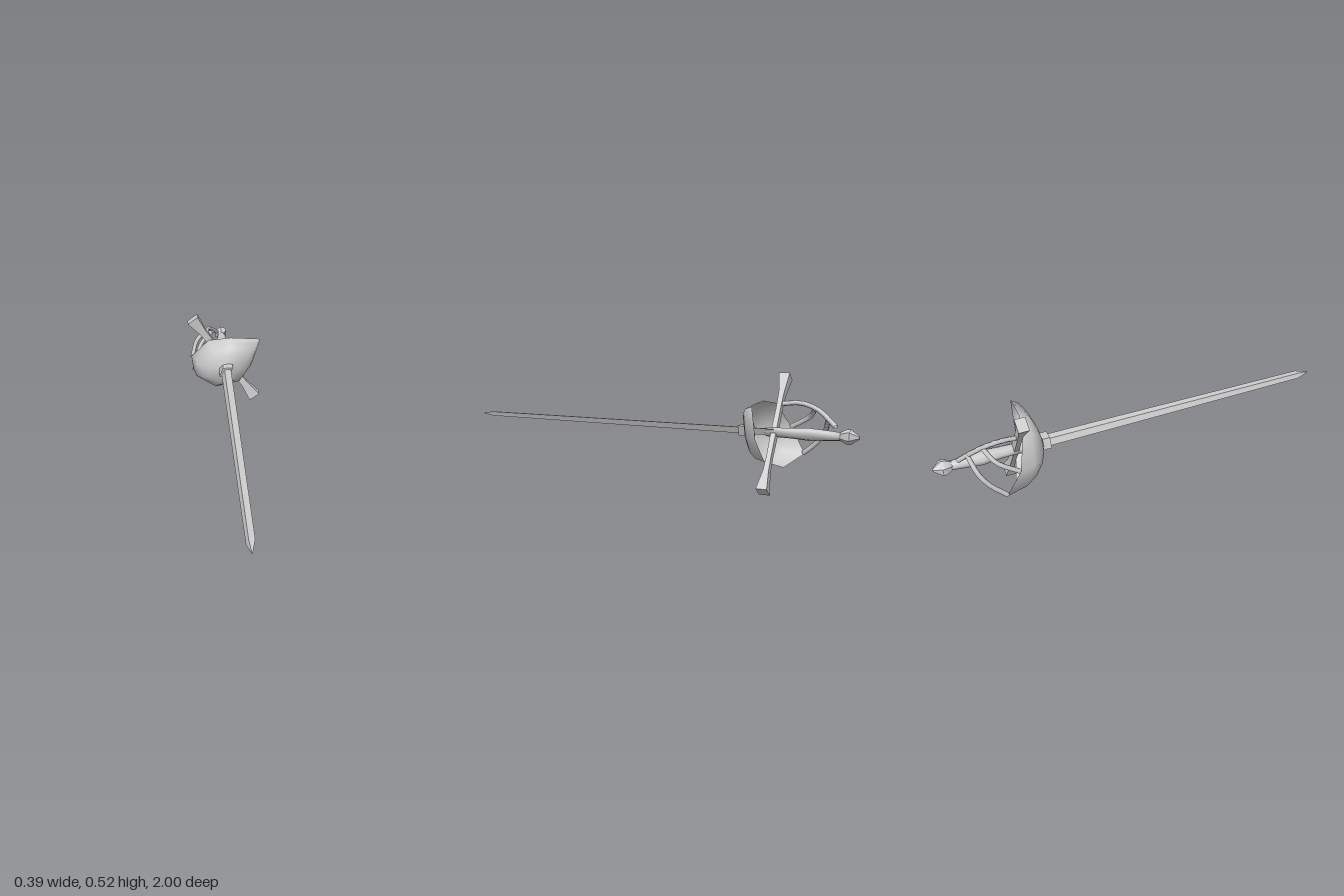
import * as THREE from 'three';
import { toCreasedNormals } from 'three/addons/utils/BufferGeometryUtils.js';

const material = new THREE.MeshStandardMaterial({ color: 0xcccccc, side: THREE.DoubleSide });

// Skin closed rings of points (counter-clockwise seen from +z, z increasing), with optional end caps
function skin(rings, caps = true) {
  const n = rings[0].length, pos = [], idx = [];
  rings.forEach(r => r.forEach(p => pos.push(...p)));
  for (let i = 0; i < rings.length - 1; i++) {
    for (let j = 0; j < n; j++) {
      const a = i * n + j, b = i * n + (j + 1) % n;
      idx.push(a, b, b + n, a, b + n, a + n);
    }
  }
  if (caps) {
    const top = (rings.length - 1) * n;
    for (let j = 1; j < n - 1; j++) idx.push(0, j + 1, j, top, top + j, top + j + 1);
  }
  const g = new THREE.BufferGeometry();
  g.setAttribute('position', new THREE.Float32BufferAttribute(pos, 3));
  g.setIndex(idx);
  g.computeVertexNormals();
  return g;
}

// Elliptical sections [z, half width, half height] with a given number of sides
function loft(sections, sides, start = 0) {
  return skin(sections.map(([z, a, b]) => Array.from({ length: sides }, (_, j) => {
    const t = start + j * 2 * Math.PI / sides;
    return [a * Math.cos(t), b * Math.sin(t), z];
  })));
}

export function createModel() {
  const model = new THREE.Group();
  model.name = 'sword';
  // The whole sword is rolled about its blade
  const roll = new THREE.Group();
  roll.name = 'rolledSword';
  roll.position.y = 0.265;
  roll.rotation.z = THREE.MathUtils.degToRad(35);
  model.add(roll);

  const add = (name, geometry) => {
    const mesh = new THREE.Mesh(geometry, material);
    mesh.name = name;
    roll.add(mesh);
  };

  // Diamond-section blade with a short point
  add('blade', toCreasedNormals(loft([
    [-0.62, 0.031, 0.017], [-0.2, 0.029, 0.016], [0.93, 0.022, 0.013], [1, 0.001, 0.001],
  ], 4), 0.7));

  // Collar where the blade meets the cup
  add('collar', toCreasedNormals(loft([
    [-0.515, 0.052, 0.04], [-0.485, 0.043, 0.029], [-0.455, 0.044, 0.029],
  ], 4), 0.7));

  // Shell cup: a symmetric pointed rim, rounded in towards the collar
  const half = [[0.237, 0, -0.57], [0.112, 0.1, -0.575], [0, 0.151, -0.6], [-0.146, 0.108, -0.65], [-0.208, 0, -0.72]];
  const rim = [...half, ...half.slice(1, 4).reverse().map(([x, y, z]) => [x, -y, z])];
  const steps = [1, 0.9, 0.72, 0.48, 0.2];
  add('cup', skin(steps.map(t => rim.map(([x, y, z]) =>
    [x * t, y * t, -0.49 + (z + 0.49) * (1 - Math.sqrt(1 - t * t))])), false));

  // Cross guard flaring to square ends
  const arm = [[0.296, 0.033, 0.025], [0.27, 0.029, 0.022], [0.2, 0.019, 0.013], [0.12, 0.018, 0.011], [0.03, 0.02, 0.012]];
  const sections = [...arm.map(([p, a, b]) => [-p, a, b]), ...arm.slice().reverse()]
    .map(([p, a, b]) => [p, a * Math.SQRT2, b * Math.SQRT2]);
  const guard = loft(sections, 4, Math.PI / 4);
  guard.rotateX(-Math.PI / 2);
  guard.translate(0, 0, -0.62);
  add('crossGuard', toCreasedNormals(guard, 0.9));

  // Swelling grip and pointed pommel
  add('grip', loft([
    [-0.925, 0.022, 0.017], [-0.87, 0.028, 0.022], [-0.78, 0.037, 0.027], [-0.7, 0.03, 0.022], [-0.58, 0.027, 0.019],
  ], 8));
  add('pommel', toCreasedNormals(loft([
    [-1, 0.008, 0.007], [-0.96, 0.04, 0.033], [-0.945, 0.039, 0.032], [-0.915, 0.022, 0.018],
  ], 6), 0.6));

  // Knuckle bow and the two bars that join it to the rim of the cup
  const bars = {
    knuckleBow: [[0, 0.145, -0.615], [0, 0.157, -0.71], [0, 0.125, -0.8], [0, 0.045, -0.89]],
    upperBar: [[0, 0.13, -0.785], [-0.084, 0.132, -0.745], [-0.143, 0.105, -0.65]],
    lowerBar: [[0, 0.085, -0.85], [-0.095, 0.068, -0.825], [-0.15, 0.038, -0.785], [-0.203, 0, -0.715]],
  };
  for (const [name, points] of Object.entries(bars)) {
    const curve = new THREE.CatmullRomCurve3(points.map(p => new THREE.Vector3(...p)));
    add(name, new THREE.TubeGeometry(curve, 8, 0.012, 5));
  }

  return model;
}
